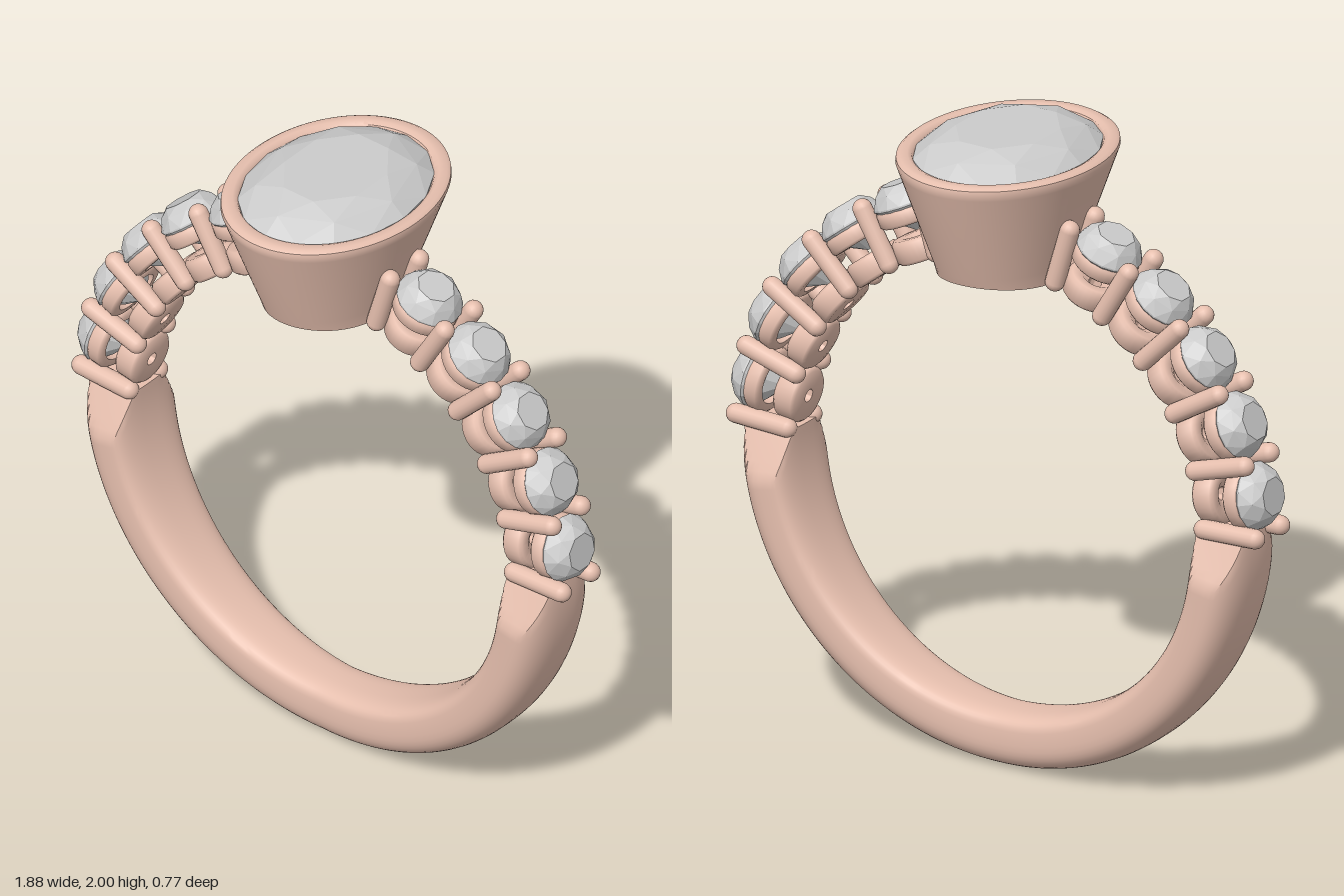
import * as THREE from 'three';
import { toCreasedNormals } from 'three/addons/utils/BufferGeometryUtils.js';
import { ConvexGeometry } from 'three/addons/geometries/ConvexGeometry.js';

const CY = 0.88, R_IN = 0.705, R_OUT = 0.878; // finger hole centre and band radii
const metal = new THREE.MeshStandardMaterial({ color: 0xe6bfae });
const stone = new THREE.MeshStandardMaterial({ color: 0xcccccc, flatShading: true });
const rad = THREE.MathUtils.degToRad;

function add(parent, name, geometry, material, x = 0, y = 0, z = 0) {
  const mesh = new THREE.Mesh(geometry, material);
  mesh.name = name;
  mesh.position.set(x, y, z);
  parent.add(mesh);
  return mesh;
}

function lathe(points, segments) {
  return new THREE.LatheGeometry(points.map(([r, y]) => new THREE.Vector2(r, y)), segments);
}

// Brilliant cut with the girdle at y = 0: rings of [radius, height, corners, turn]
function gemGeometry(rx, rz, crown, pavilion) {
  const rings = [
    [0.57, crown, 8, 0.5], [0.82, crown * 0.62, 8, 0],
    [1, 0, 16, 0], [1, -0.06 * pavilion, 16, 0],
    [0.56, -0.58 * pavilion, 8, 0.5], [0.03, -pavilion, 8, 0.5],
  ];
  const points = [];
  for (const [r, y, n, turn] of rings) {
    for (let i = 0; i < n; i++) {
      const a = (i + turn) / n * Math.PI * 2;
      points.push(new THREE.Vector3(Math.cos(a) * r * rx, y, Math.sin(a) * r * rz));
    }
  }
  return new ConvexGeometry(points);
}

// Plain lower shank: a rounded section swept around the bottom, its shoulders cut narrow
function shankGeometry() {
  const N = 96, M = 40, end = 92.5, pos = [], idx = [];
  const mid = (R_IN + R_OUT) / 2, half = (R_OUT - R_IN) / 2;
  for (let i = 0; i <= N; i++) {
    const deg = -end + 2 * end * i / N, a = rad(deg), phi = Math.abs(deg);
    const width = 0.092 + 0.053 * Math.min(phi / 80, 1);
    const limit = phi > 81 ? THREE.MathUtils.mapLinear(phi, 81, end, 0.145, 0.068) : 1;
    for (let j = 0; j < M; j++) {
      const t = j / M * Math.PI * 2, c = Math.cos(t), s = Math.sin(t);
      const power = c > 0 ? 0.85 : 0.4; // rounded outside, flatter inside
      const r = mid + half * Math.sign(c) * Math.abs(c) ** power;
      const z = THREE.MathUtils.clamp(width * Math.sign(s) * Math.abs(s) ** 0.75, -limit, limit);
      pos.push(Math.sin(a) * r, CY - Math.cos(a) * r, z);
      if (i < N) {
        const p = i * M + j, q = i * M + (j + 1) % M;
        idx.push(p, p + M, q, q, p + M, q + M);
      }
    }
  }
  // end caps
  for (const [i, flip] of [[0, false], [N, true]]) {
    const a = rad(i ? end : -end), centre = pos.length / 3;
    pos.push(Math.sin(a) * mid, CY - Math.cos(a) * mid, 0);
    for (let j = 0; j < M; j++) {
      const p = i * M + j, q = i * M + (j + 1) % M;
      idx.push(centre, flip ? q : p, flip ? p : q);
    }
  }
  const g = new THREE.BufferGeometry();
  g.setAttribute('position', new THREE.Float32BufferAttribute(pos, 3));
  g.setIndex(idx);
  return toCreasedNormals(g, rad(35));
}

// Oval tapered cup, its underside hollowed to follow the finger hole
function bezelGeometry() {
  const g = lathe([
    [0, 1.66], [0.085, 1.655], [0.1, 1.585], [0.13, 1.585], [0.16, 1.585], [0.187, 1.585],
    [0.196, 1.61], [0.297, 1.905], [0.304, 1.925], [0.303, 1.938], [0.293, 1.946],
    [0.272, 1.946], [0.26, 1.94], [0.253, 1.925], [0.25, 1.88], [0.15, 1.75],
  ], 72);
  const p = g.attributes.position;
  for (let i = 0; i < p.count; i++) {
    const x = p.getX(i), y = p.getY(i);
    p.setZ(i, p.getZ(i) * THREE.MathUtils.mapLinear(y, 1.585, 1.945, 1.37, 1.265));
    if (y < 1.6) p.setY(i, CY + Math.sqrt(R_IN ** 2 - x * x));
  }
  return toCreasedNormals(g, rad(40));
}

export function createModel() {
  const ring = new THREE.Group();
  ring.name = 'ring';

  add(ring, 'shank', shankGeometry(), metal);
  add(ring, 'bezel', bezelGeometry(), metal);
  add(ring, 'centreStone', gemGeometry(0.258, 0.33, 0.065, 0.22), stone, 0, 1.935, 0);

  // Parts shared by every small setting, with local y pointing away from the finger
  const gem = gemGeometry(0.102, 0.102, 0.058, 0.095);
  const post = new THREE.CapsuleGeometry(0.03, 0.18, 6, 16);
  const seat = toCreasedNormals(lathe([
    [0.07, 0.825], [0.092, 0.825], [0.1, 0.833], [0.1, 0.868], [0.092, 0.878],
    [0.08, 0.878], [0.07, 0.86], [0.07, 0.825],
  ], 32), rad(50));
  const base = toCreasedNormals(lathe([
    [0.02, 0.707], [0.078, 0.707], [0.087, 0.716], [0.087, 0.772], [0.078, 0.781],
    [0.05, 0.781], [0.02, 0.76], [0.02, 0.707],
  ], 32), rad(50));

  const START = 2.4, STEP = 14.2;
  for (const side of [1, -1]) {
    const shoulder = new THREE.Group();
    shoulder.name = side > 0 ? 'leftShoulder' : 'rightShoulder';
    shoulder.position.y = CY;
    ring.add(shoulder);

    const station = (name, angle) => {
      const g = new THREE.Group();
      g.name = name;
      g.rotation.z = -side * rad(90 - angle);
      shoulder.add(g);
      return g;
    };
    // six pairs of round posts
    for (let i = 0; i < 6; i++) {
      const pair = station('postPair', START + STEP * i);
      for (const z of [0.067, -0.067]) add(pair, 'post', post, metal, 0, 0.82, z);
    }
    // five small stones between them
    for (let i = 0; i < 5; i++) {
      const setting = station('setting', START + STEP * (i + 0.5));
      add(setting, 'smallStone', gem, stone, 0, 0.887, 0);
      add(setting, 'seatRing', seat, metal);
      add(setting, 'baseRing', base, metal);
    }
  }
  return ring;
}
